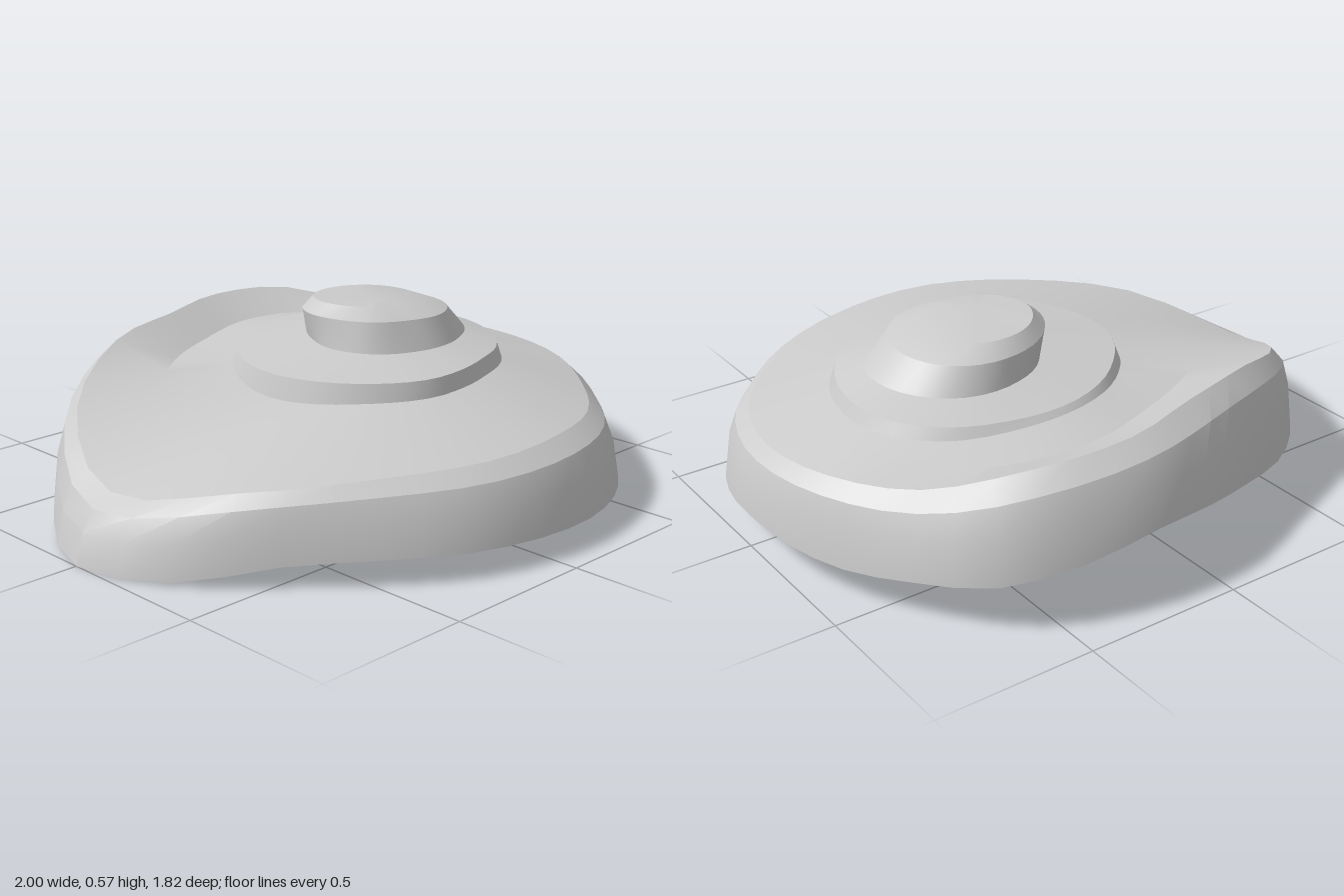
import * as THREE from 'three';
import { toCreasedNormals } from 'three/addons/utils/BufferGeometryUtils.js';

const SEGMENTS = 48;
const CENTRE_X = 0.2;

// Smooth periodic lookup of evenly spaced values around the full turn
function around(values, t) {
  const n = values.length, f = t * n, i = Math.floor(f), u = f - i;
  const [a, b, c, d] = [-1, 0, 1, 2].map(k => values[(i + k + n) % n]);
  return b + 0.5 * u * (c - a + u * (2 * a - 5 * b + 4 * c - d + u * (3 * (b - c) + d - a)));
}

// A ring is a radius and a height for every angle, running from +x towards +z
const ring = (radii, heights) => Array.from({ length: SEGMENTS }, (_, j) => ({
  r: around(radii, j / SEGMENTS), y: around(heights, j / SEGMENTS),
}));
const mix = (p, q, kr, ky, lift = [0]) => p.map((v, j) => ({
  r: v.r + (q[j].r - v.r) * kr,
  y: v.y + (q[j].y - v.y) * ky + around(lift, j / SEGMENTS),
}));
const shift = (p, dr, dy) => p.map(v => ({ r: v.r + dr, y: v.y + dy }));
const point = y => ring([0], [y]);

// Position of vertex j of a ring
function place(rg, j) {
  const a = j / SEGMENTS * Math.PI * 2, { r, y } = rg[j % SEGMENTS];
  return [CENTRE_X + r * Math.cos(a), y, r * Math.sin(a)];
}

function geometry(positions) {
  const geo = new THREE.BufferGeometry();
  geo.setAttribute('position', new THREE.Float32BufferAttribute(positions.flat(), 3));
  return geo;
}

// Skin a list of rings: outside-in faces up, inside-out faces down
function loft(rings) {
  const tris = [];
  for (let i = 0; i < rings.length - 1; i++) {
    for (let j = 0; j < SEGMENTS; j++) {
      const a = place(rings[i], j), b = place(rings[i], j + 1);
      const c = place(rings[i + 1], j), d = place(rings[i + 1], j + 1);
      tris.push(a, c, b, b, c, d);
    }
  }
  return toCreasedNormals(geometry(tris), 0.4);
}

// Ribbed hollow: every other wall panel, and a fan from one corner that closes the rest
function ribbedHollow(deep, lip, apexIndex) {
  const apex = place(deep, apexIndex), tris = [], loop = [];
  for (let j = 0; j < SEGMENTS; j += 2) {
    const [a, b, c, d] = [place(deep, j), place(deep, j + 1), place(lip, j), place(lip, j + 1)];
    tris.push(a, c, b, b, c, d);
    loop.push(c, a, b, d);
  }
  loop.forEach((p, i) => tris.push(apex, p, loop[(i + 1) % loop.length]));
  const geo = geometry(tris);
  geo.computeVertexNormals();
  return geo;
}

export function createModel() {
  const group = new THREE.Group();
  const material = new THREE.MeshStandardMaterial({ color: 0xcccccc, side: THREE.DoubleSide });
  const add = (name, geo) => {
    const mesh = new THREE.Mesh(geo, material);
    mesh.name = name;
    group.add(mesh);
  };

  // Wavy lower rim, drooping on the right and lifted at the back
  const rim = ring(
    [0.8, 0.79, 0.785, 0.78, 0.81, 0.85, 0.895, 0.935, 0.97, 0.99, 1.04, 1.14,
      1.2, 1.11, 1.02, 0.95, 0.89, 0.89, 0.91, 0.92, 0.92, 0.87, 0.83, 0.81],
    [0.12, 0.09, 0.065, 0.05, 0.055, 0.065, 0.075, 0.085, 0.09, 0.09, 0.075, 0.02,
      0.01, 0.03, 0.08, 0.12, 0.16, 0.21, 0.24, 0.2, 0.16, 0.14, 0.115, 0.115]);
  // Shoulder of the brim, rising to a ridge at the back
  const shoulder = ring(
    [0.72, 0.7, 0.69, 0.72, 0.76, 0.83, 0.89, 1.0, 1.07, 0.98, 0.83, 0.74, 0.77, 0.79, 0.75, 0.73],
    [0.32, 0.31, 0.29, 0.29, 0.3, 0.3, 0.29, 0.26, 0.2, 0.33, 0.44, 0.455, 0.46, 0.44, 0.36, 0.335]);
  // Foot and upper edge of the raised disc
  const discFoot = ring(
    [0.49, 0.45, 0.42, 0.39, 0.4, 0.43, 0.44, 0.45, 0.46, 0.46, 0.45, 0.46, 0.48, 0.5, 0.53, 0.53],
    [0.38, 0.37, 0.37, 0.365, 0.35, 0.39, 0.41, 0.39]);
  const discEdge = mix(discFoot, ring([0], [0.428]), 0.04, 0.9);
  // Off-centre dome
  const domeFoot = ring([0.38, 0.28, 0.22, 0.2, 0.19, 0.2, 0.28, 0.38], [0.45]);
  const domeEdge = ring([0.3, 0.23, 0.17, 0.17, 0.18, 0.22, 0.27, 0.33], [0.53, 0.535, 0.54, 0.545, 0.545, 0.54, 0.53, 0.53]);
  const domeTop = ring([0.2, 0.13, 0.08, 0.09, 0.12, 0.18, 0.23, 0.25], [0.565, 0.57, 0.575, 0.577, 0.577, 0.577, 0.57, 0.565]);

  // Valley between the back ridge and the disc
  const valley = [0, 0, 0, 0, 0, 0, 0, 0, 0.02, -0.01, -0.04, -0.045, -0.045, -0.04, -0.015, 0];

  add('brimSide', loft([rim, mix(rim, shoulder, 0.2, 0.5), mix(rim, shoulder, 0.5, 0.82), shoulder]));
  add('brimTop', loft([shoulder, mix(shoulder, discFoot, 0.5, 0.5, valley), discFoot]));
  add('disc', loft([discFoot, discEdge, domeFoot]));
  add('dome', loft([domeFoot, domeEdge, domeTop, point(0.577)]));

  // Underside: a narrow lip inside the rim and the ribbed hollow within it
  const lip = shift(rim, -0.045, 0.01);
  add('rimLip', loft([lip, rim]));
  add('underside', ribbedHollow(mix(discFoot, shoulder, 0.25, 0.25, [-0.04]), lip, 13));
  return group;
}
